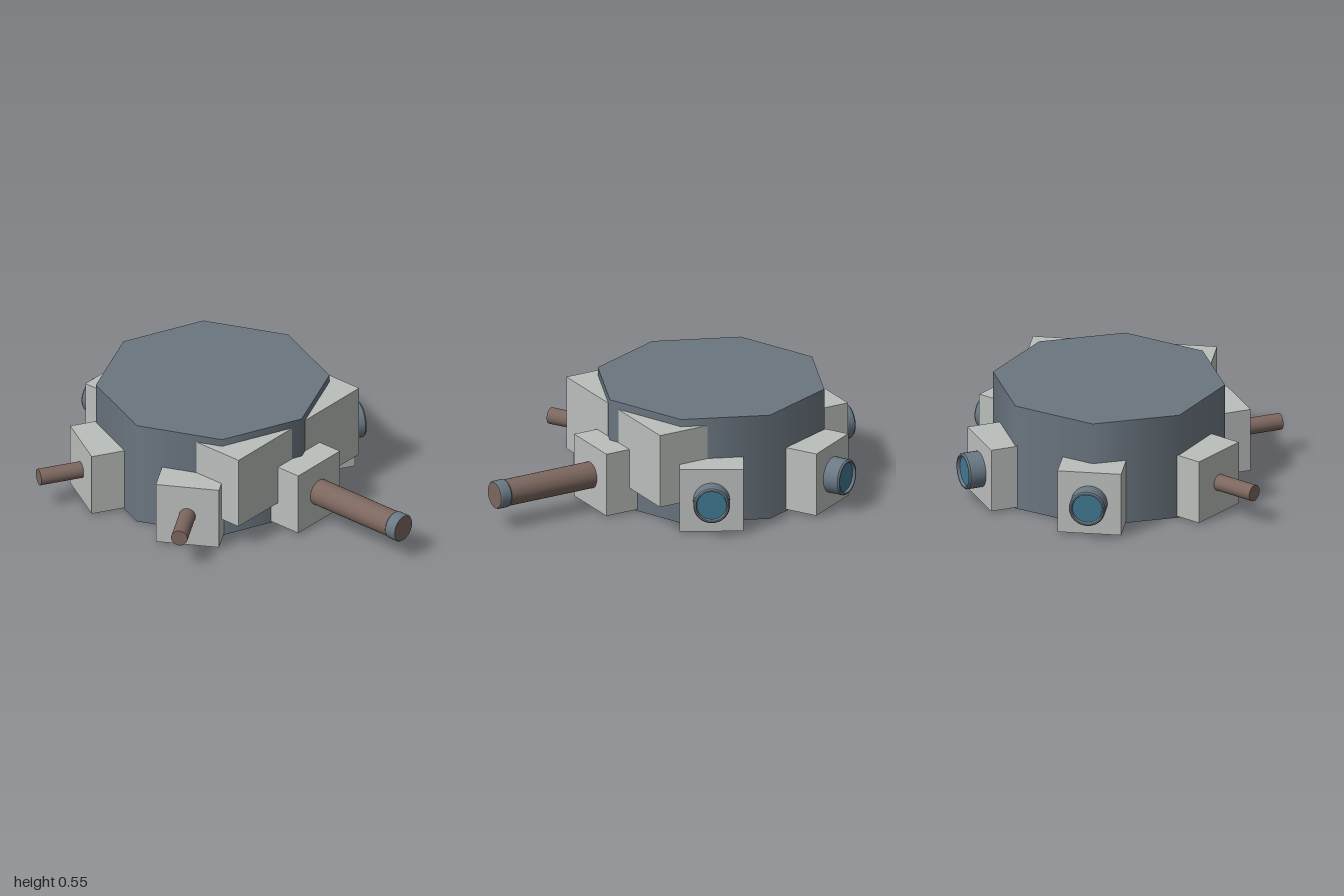
import * as THREE from 'three';

const mat = (name, color) => {
  const m = new THREE.MeshStandardMaterial({ color });
  m.name = name;
  return m;
};

export function createModel() {
  const slate = mat('slate', 0x6b7680);
  const paleGrey = mat('paleGrey', 0xbbbfbc);
  const steel = mat('steel', 0x6a7985);
  const brown = mat('brown', 0x7c675f);
  const glass = mat('glass', 0x417790);

  const root = new THREE.Group();
  root.name = 'turretHub';
  const hub = new THREE.Group();
  hub.name = 'hub';
  hub.position.set(0.043, 0, -0.228);
  root.add(hub);

  const add = (parent, name, geometry, material, x = 0, y = 0, z = 0) => {
    const mesh = new THREE.Mesh(geometry, material);
    mesh.name = name;
    mesh.position.set(x, y, z);
    parent.add(mesh);
    return mesh;
  };

  // Rod pointing along +z, from z0 to z1
  const rod = (parent, name, r, z0, z1, material) =>
    add(parent, name, new THREE.CylinderGeometry(r, r, z1 - z0, 32).rotateX(Math.PI / 2),
      material, 0, 0.172, (z0 + z1) / 2);

  // Turned part along +z; doubled points keep its corners sharp
  const turned = (parent, name, points, material) => {
    const profile = points.flatMap(([r, z]) => [new THREE.Vector2(r, z), new THREE.Vector2(r, z)]);
    return add(parent, name, new THREE.LatheGeometry(profile, 32).rotateX(Math.PI / 2),
      material, 0, 0.172, 0);
  };

  // Eight-sided drum, smoothly shaded round its wall
  add(hub, 'drum', new THREE.CylinderGeometry(0.574, 0.574, 0.545, 8), slate, 0, 0.2725, 0);

  // Two raised blocks at the front
  for (const s of [-1, 1]) {
    add(hub, s < 0 ? 'rightFrontBlock' : 'leftFrontBlock',
      new THREE.BoxGeometry(0.406, 0.377, 0.32), paleGrey, s * 0.253, 0.3185, 0.395);
  }

  // Six mounts spaced evenly round the drum
  const kinds = ['longBarrel', 'porthole', 'porthole', 'porthole', 'shortBarrel', 'shortBarrel'];
  kinds.forEach((kind, i) => {
    const mount = new THREE.Group();
    mount.name = kind + 'Mount';
    mount.rotation.y = i * Math.PI / 3;
    hub.add(mount);
    add(mount, 'mountBlock', new THREE.BoxGeometry(0.315, 0.325, 0.315), paleGrey, 0, 0.1705, 0.5275);

    if (kind === 'longBarrel') {
      rod(mount, 'longBarrel', 0.066, 0.66, 1.227, brown);
      turned(mount, 'muzzleRing',
        [[0.065, 1.165], [0.07, 1.172], [0.07, 1.222], [0.066, 1.228]], steel);
    } else if (kind === 'shortBarrel') {
      rod(mount, 'shortBarrel', 0.041, 0.66, 0.905, brown);
    } else {
      // Round casing with a recessed lens
      turned(mount, 'portholeCasing',
        [[0.09, 0.68], [0.09, 0.764], [0.084, 0.772], [0.077, 0.772], [0.072, 0.755]], steel);
      rod(mount, 'lens', 0.073, 0.68, 0.758, glass);
    }
  });

  return root;
}
